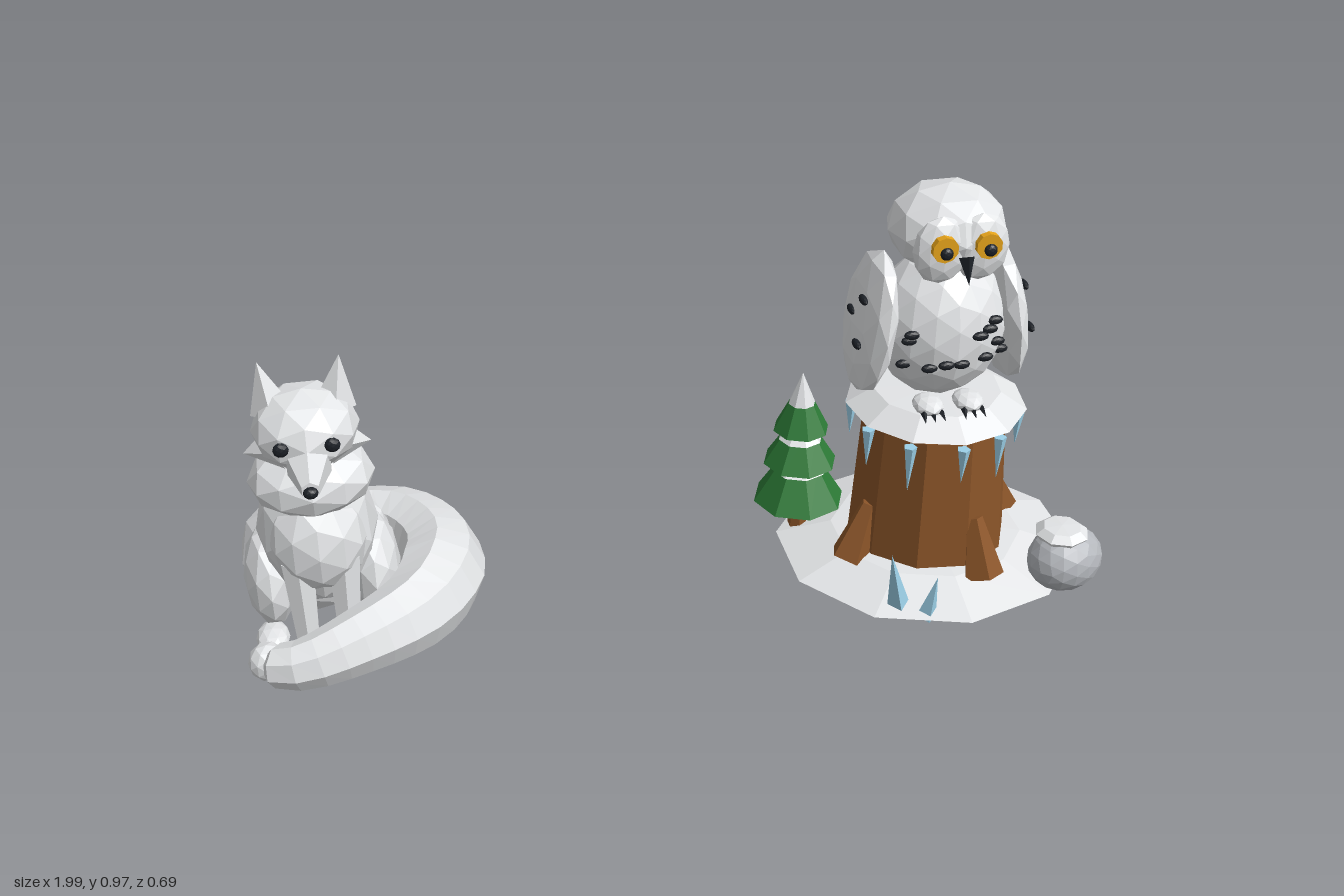
import * as THREE from 'three';

const mat = (name, color) => {
  const m = new THREE.MeshStandardMaterial({ color, flatShading: true });
  m.name = name;
  return m;
};

export function createModel() {
  const white = mat('snow white', 0xf2f4f6);
  const black = mat('black', 0x1c2026);
  const yellow = mat('amber', 0xf0ab1c);
  const brown = mat('bark brown', 0x8a5428);
  const green = mat('pine green', 0x2c7a36);
  const ice = mat('ice blue', 0x9fd4ec);
  const grey = mat('stone grey', 0xb4b7bc);

  const add = (parent, name, geo, material, pos = [0, 0, 0], rot = [0, 0, 0]) => {
    const m = new THREE.Mesh(geo, material);
    m.name = name;
    m.position.set(...pos);
    m.rotation.set(...rot);
    parent.add(m);
    return m;
  };
  // Faceted ellipsoid
  const blob = (parent, name, material, pos, radii, rot, detail = 1) => {
    const m = add(parent, name, new THREE.IcosahedronGeometry(1, detail), material, pos, rot);
    m.scale.set(...radii);
    return m;
  };
  // Spike with its base at one point and its tip at another
  const spike = (parent, name, material, from, to, r, sides = 5, tipR = 0) => {
    const a = new THREE.Vector3(...from), d = new THREE.Vector3(...to).sub(a);
    const m = add(parent, name, new THREE.CylinderGeometry(tipR, r, d.length(), sides), material);
    m.position.copy(a).addScaledVector(d, 0.5);
    m.quaternion.setFromUnitVectors(new THREE.Vector3(0, 1, 0), d.normalize());
    return m;
  };
  const lathe = (pts, sides) =>
    new THREE.LatheGeometry(pts.map(p => new THREE.Vector2(...p)), sides);
  const group = (parent, name, x = 0, y = 0, z = 0) => {
    const g = new THREE.Group();
    g.name = name;
    g.position.set(x, y, z);
    parent.add(g);
    return g;
  };

  const model = new THREE.Group();
  model.name = 'winterAnimals';

  // ---- Stump scene ----
  const scene = group(model, 'stumpScene', 0.635, 0, 0);
  const mound = add(scene, 'snowMound',
    lathe([[0, 0.01], [0.347, 0.01], [0.22, 0.052], [0, 0.07]], 10), white);
  mound.scale.x = 1.05;
  add(scene, 'stump', new THREE.CylinderGeometry(0.172, 0.192, 0.33, 10), brown, [0, 0.22, 0], [0, 0.2, 0]);
  for (const [x, z] of [[0.08, 0.235], [0.235, -0.075], [-0.08, -0.235], [-0.235, 0.08]])
    spike(scene, 'root', brown, [x * 0.9, 0.04, z * 0.9], [x * 0.7, 0.175, z * 0.7], 0.05, 5, 0.02);
  add(scene, 'snowCap',
    lathe([[0, 0.375], [0.15, 0.378], [0.213, 0.408], [0.15, 0.446], [0, 0.45]], 11), white);

  // Icicles under the cap and crystals in the snow
  for (const [x, z, l] of [[0, 0.2, 0.08], [0.1, 0.165, 0.1], [-0.115, 0.165, 0.11], [0.18, 0.07, 0.075],
    [-0.185, 0.07, 0.09], [0.18, -0.065, 0.09], [-0.185, -0.065, 0.08]])
    spike(scene, 'icicle', ice, [x, 0.39, z], [x, 0.38 - l, z], 0.016, 5);
  spike(scene, 'iceCrystal', ice, [-0.145, 0, 0.25], [-0.18, 0.175, 0.275], 0.03, 4);
  spike(scene, 'iceCrystal', ice, [-0.09, 0, 0.285], [-0.075, 0.115, 0.3], 0.025, 4);

  // Snow-topped rock
  blob(scene, 'rock', grey, [0.27, 0.07, 0.222], [0.096, 0.078, 0.08], [0, 0.4, 0], 2);
  add(scene, 'rockSnow',
    lathe([[0, 0.115], [0.05, 0.12], [0.064, 0.14], [0.045, 0.155], [0, 0.158]], 8), white, [0.258, 0, 0.215]);

  // Pine tree
  const tree = group(scene, 'pineTree', -0.29, 0, -0.12);
  add(tree, 'trunk', new THREE.CylinderGeometry(0.02, 0.024, 0.1, 6), brown, [0, 0.07, 0]);
  [[0.1, 0.112, 0.2], [0.205, 0.09, 0.285], [0.295, 0.068, 0.37]].forEach(([y0, r, y1], i) => {
    add(tree, 'branches', new THREE.CylinderGeometry(r * 0.45, r, y1 - y0, 8), green, [0, (y0 + y1) / 2, 0]);
    if (i < 2)
      add(tree, 'branchSnow', new THREE.CylinderGeometry(r * 0.35, r * 0.6, 0.025, 8), white, [0, y1 - 0.003, 0]);
  });
  add(tree, 'treeTip', new THREE.ConeGeometry(0.034, 0.085, 8), white, [0, 0.405, 0]);

  // ---- Owl ----
  const owl = group(scene, 'owl', -0.008, 0, 0);
  const body = [0.155, 0.178, 0.142];
  blob(owl, 'owlBody', white, [0, 0.62, 0], body, [0, 0, 0], 2);
  blob(owl, 'owlHead', white, [0, 0.858, 0.0], [0.137, 0.102, 0.13]);
  for (const s of [-1, 1]) {
    blob(owl, 'wing', white, [s * 0.158, 0.623, -0.02], [0.046, 0.178, 0.133], [0, 0, s * 0.13]);
    blob(owl, 'faceDisc', white, [s * 0.046, 0.845, 0.098], [0.066, 0.08, 0.032]);
    add(owl, 'eye', new THREE.CylinderGeometry(0.03, 0.03, 0.02, 10), yellow,
      [s * 0.05, 0.862, 0.129], [Math.PI / 2, 0, 0]);
    blob(owl, 'pupil', black, [s * 0.05, 0.857, 0.146], [0.015, 0.015, 0.01]);
    blob(owl, 'owlFoot', white, [s * 0.048, 0.458, 0.1], [0.036, 0.02, 0.045]);
    for (const t of [-1, 0, 1])
      spike(owl, 'claw', black, [s * 0.048 + t * 0.02, 0.455, 0.133], [s * 0.048 + t * 0.024, 0.443, 0.16], 0.008, 4);
    // Spots on the wing
    for (const [z, y] of [[0.02, 0.7], [-0.035, 0.65], [0.04, 0.6]])
      blob(owl, 'wingSpot', black, [s * (0.204 - (y - 0.62) * 0.17), y, z], [0.009, 0.01, 0.022]);
  }
  spike(owl, 'beak', black, [0, 0.84, 0.135], [0, 0.785, 0.163], 0.018, 4);
  // Spots on the breast, set on the surface of the body
  for (const [x, y] of [[-0.105, 0.63], [-0.11, 0.565], [-0.06, 0.565], [-0.025, 0.575], [0.01, 0.575], [0.05, 0.64],
    [0.09, 0.665], [0.075, 0.65], [0.07, 0.58], [0.1, 0.61], [0.12, 0.575], [-0.1, 0.645]]) {
    const k = 1 - (x / body[0]) ** 2 - ((y - 0.62) / body[1]) ** 2;
    blob(owl, 'breastSpot', black, [x, y, body[2] * Math.sqrt(k)], [0.02, 0.011, 0.01]);
  }
  for (const [x, y, z] of [[0.02, 0.9, -0.114], [-0.03, 0.873, -0.122], [0.035, 0.863, -0.12]])
    blob(owl, 'headSpot', black, [x, y, z], [0.02, 0.009, 0.011]);

  // ---- Fox ----
  const fox = group(model, 'fox', -0.812, 0, 0);
  blob(fox, 'haunches', white, [-0.008, 0.15, -0.085], [0.178, 0.15, 0.168], [0, 0.3, 0]);
  blob(fox, 'torso', white, [0, 0.27, 0.01], [0.135, 0.2, 0.16], [0.15, 0, 0]);
  blob(fox, 'chest', white, [0, 0.28, 0.085], [0.11, 0.13, 0.1]);
  blob(fox, 'neckRuff', white, [0, 0.425, 0.06], [0.138, 0.085, 0.115]);
  blob(fox, 'foxHead', white, [0, 0.565, 0.085], [0.115, 0.09, 0.12]);
  spike(fox, 'snout', white, [0, 0.525, 0.17], [0, 0.525, 0.285], 0.053, 6, 0.02);
  blob(fox, 'nose', black, [0, 0.525, 0.293], [0.016, 0.013, 0.013]);
  for (const s of [-1, 1]) {
    spike(fox, 'cheek', white, [s * 0.06, 0.535, 0.1], [s * 0.135, 0.515, 0.09], 0.055, 5);
    spike(fox, 'ear', white, [s * 0.066, 0.6, 0.07], [s * 0.085, 0.715, 0.062], 0.046, 4);
    blob(fox, 'foxEye', black, [s * 0.053, 0.572, 0.19], [0.017, 0.017, 0.011]);
    blob(fox, 'thigh', white, [s * 0.115, 0.14, 0.0], [0.062, 0.12, 0.115]);
    spike(fox, 'frontLeg', white, [s * 0.045, 0.02, 0.135], [s * 0.05, 0.25, 0.12], 0.026, 6, 0.04);
    blob(fox, 'frontPaw', white, [s * 0.045, 0.022, 0.15], [0.035, 0.022, 0.045]);
    blob(fox, 'backPaw', white, [s * 0.125, 0.025, 0.09], [0.038, 0.025, 0.06]);
  }

  // Tail curling round the feet, thick at the back and thin at the tip
  const path = new THREE.CatmullRomCurve3([[0.045, 0.105, -0.245], [0.19, 0.112, -0.19], [0.27, 0.118, -0.02],
    [0.215, 0.112, 0.145], [0.06, 0.095, 0.24], [-0.07, 0.072, 0.265], [-0.155, 0.06, 0.225]]
    .map(p => new THREE.Vector3(...p)));
  const n = 20, sides = 8;
  const tail = new THREE.TubeGeometry(path, n, 1, sides, false);
  const v = new THREE.Vector3(), p = tail.attributes.position;
  for (let i = 0; i <= n; i++) {
    const t = i / n;
    const c = path.getPointAt(Math.max(t, 1 / n));
    const r = t < 0.45 ? 0.075 + 0.062 * t : 0.103 - 0.115 * (t - 0.45) ** 1.1;
    const c0 = path.getPointAt(t);
    for (let j = 0; j <= sides; j++) {
      const k = i * (sides + 1) + j;
      v.fromBufferAttribute(p, k).sub(c0).multiplyScalar(i === 0 || i === n ? 0 : r).add(c);
      p.setXYZ(k, v.x, v.y, v.z);
    }
  }
  add(fox, 'tail', tail, white);
  blob(fox, 'tailTip', white, [-0.135, 0.063, 0.225], [0.043, 0.044, 0.043]);

  return model;
}
